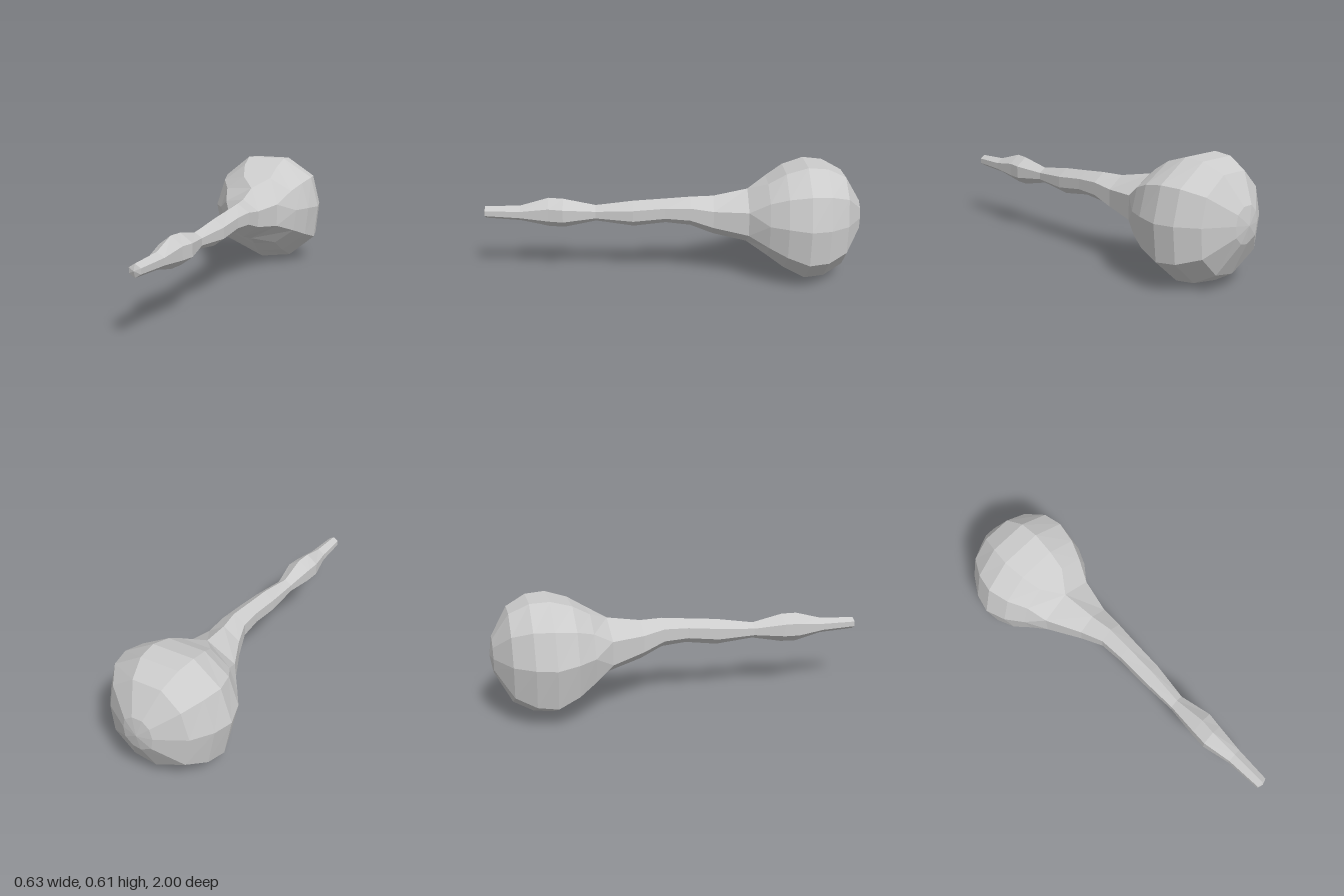
import * as THREE from 'three';

// unit outlines, counter-clockwise seen from the front
const HEX = [[0, 1], [-1, 0.42], [-1, -0.42], [0, -1], [1, -0.42], [1, 0.42]];
const BULB = [[0.1, 0.61], [-0.12, 0.61], [-0.26, 0.495], [-0.315, 0.315], [-0.27, 0.105],
  [-0.03, 0], [0.145, 0.025], [0.295, 0.15], [0.315, 0.335], [0.27, 0.505]]
  .map(([x, y]) => [x / 0.315, (y - 0.305) / 0.305]);
const POINT = [[0, 0]];

// cross-sections from tip to rounded end: outline, z, xMin, xMax, yMin, yMax
const SECTIONS = [
  [POINT, 1.0, -0.025, -0.025, 0.335, 0.335],
  [HEX, 0.99, -0.053, 0.005, 0.303, 0.367],
  [HEX, 0.8, -0.052, 0.025, 0.292, 0.375],
  [HEX, 0.65, -0.075, 0.045, 0.258, 0.417],
  [HEX, 0.57, -0.066, 0.06, 0.258, 0.415],
  [HEX, 0.4, -0.042, 0.036, 0.293, 0.38],
  [HEX, 0.2, -0.038, 0.07, 0.27, 0.41],
  [HEX, 0.03, -0.032, 0.082, 0.293, 0.425],
  [HEX, -0.1, -0.033, 0.096, 0.28, 0.437],
  [HEX, -0.22, -0.07, 0.108, 0.228, 0.438],
  [HEX, -0.4, -0.152, 0.157, 0.178, 0.472],
  [BULB, -0.5, -0.225, 0.242, 0.125, 0.52],
  [BULB, -0.59, -0.285, 0.288, 0.058, 0.575],
  [BULB, -0.7, -0.315, 0.315, 0, 0.61],
  [BULB, -0.8, -0.285, 0.297, 0.012, 0.603],
  [BULB, -0.9, -0.215, 0.225, 0.07, 0.553],
  [BULB, -0.985, -0.075, 0.085, 0.235, 0.415],
  [POINT, -1.0, 0.005, 0.005, 0.325, 0.325],
];

function makeRing([outline, z, x0, x1, y0, y1]) {
  return outline.map(([u, v]) => [
    (x0 + x1) / 2 + u * (x1 - x0) / 2, (y0 + y1) / 2 + v * (y1 - y0) / 2, z]);
}

// angle of the k-th corner, counted on past a full turn
function turn(outline, k) {
  const n = outline.length;
  const angle = ([x, y]) => Math.atan2(y, x);
  let d = angle(outline[k % n]) - angle(outline[0]);
  if (d < -1e-9) d += Math.PI * 2;
  return angle(outline[0]) + d + Math.floor(k / n) * Math.PI * 2;
}

// join two rings, which may have different numbers of corners
function stitch(a, b, outA, outB, out) {
  const na = a.length > 1 ? a.length : 0;
  const nb = b.length > 1 ? b.length : 0;
  let i = 0, j = 0;
  while (i < na || j < nb) {
    const stepA = j >= nb || (i < na && turn(outA, i + 1) < turn(outB, j + 1) - 1e-6);
    const pa = a[i % a.length], pb = b[j % b.length];
    out.push(...pa, ...pb, ...(stepA ? a[++i % a.length] : b[++j % b.length]));
  }
}

function loft(sections) {
  const positions = [];
  const rings = sections.map(makeRing);
  for (let s = 0; s + 1 < rings.length; s++) {
    stitch(rings[s], rings[s + 1], sections[s][0], sections[s + 1][0], positions);
  }
  const geometry = new THREE.BufferGeometry();
  geometry.setAttribute('position', new THREE.Float32BufferAttribute(positions, 3));
  geometry.computeVertexNormals();
  return geometry;
}

export function createModel() {
  const group = new THREE.Group();
  group.name = 'club';
  const material = new THREE.MeshStandardMaterial({ color: 0xcccccc, flatShading: true });
  const neck = 10; // section shared by the handle and the head

  // gnarled six-sided handle
  const handle = new THREE.Mesh(loft(SECTIONS.slice(0, neck + 1)), material);
  handle.name = 'handle';
  // faceted bulbous head
  const head = new THREE.Mesh(loft(SECTIONS.slice(neck)), material);
  head.name = 'head';

  group.add(handle, head);
  return group;
}
